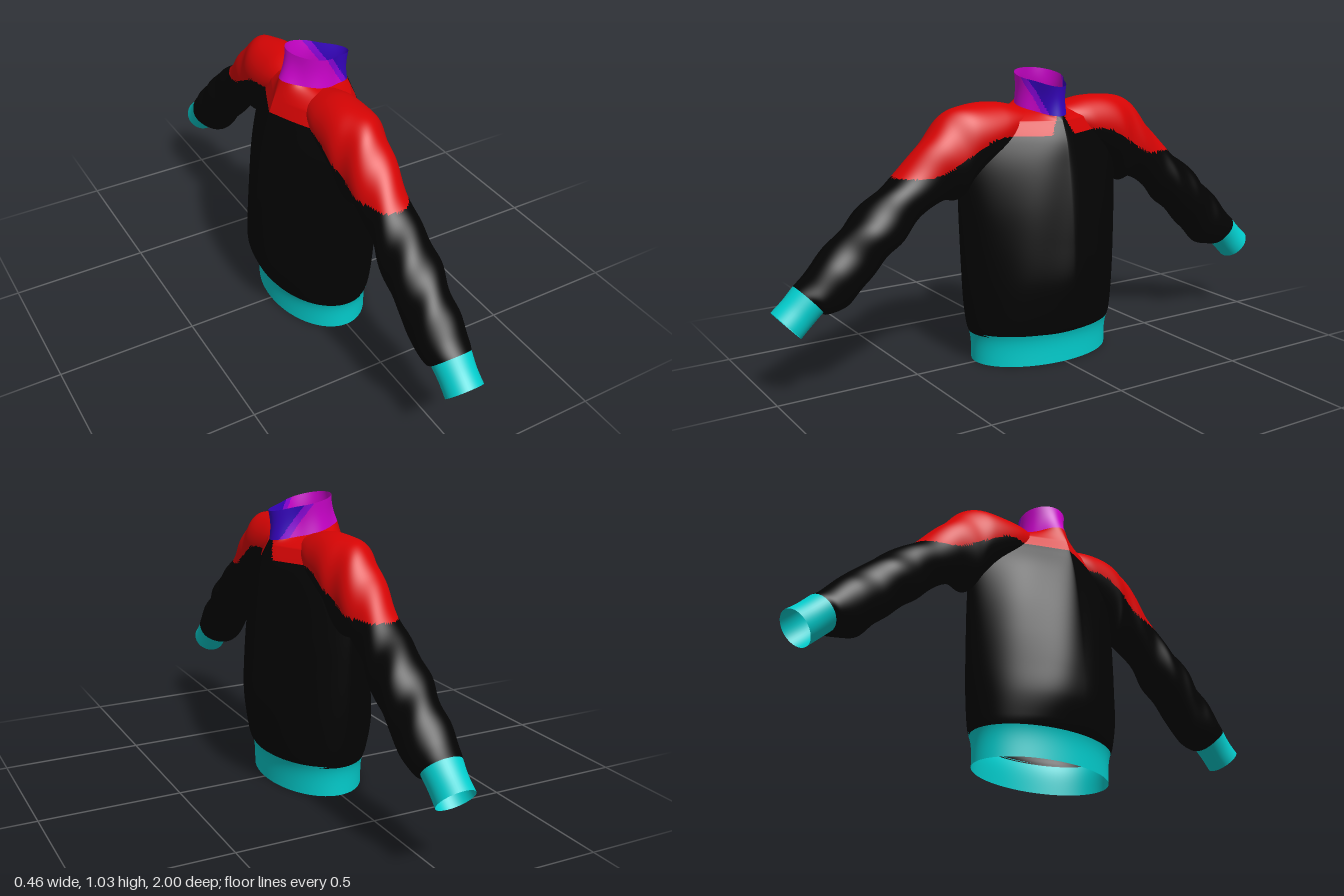
import * as THREE from 'three';

const mat = (name, color) => {
  const m = new THREE.MeshStandardMaterial({ color, side: THREE.DoubleSide });
  m.name = name;
  return m;
};

// Smooth (Catmull-Rom) interpolation through a list of section rows, t in 0..1
function sample(rows, t) {
  const n = rows.length - 1;
  const i = Math.min(Math.floor(t * n), n - 1);
  const f = t * n - i;
  const at = (k) => rows[Math.max(0, Math.min(n, k))];
  return rows[i].map((b, k) => {
    const a = at(i - 1)[k], c = at(i + 1)[k], d = at(i + 2)[k];
    return 0.5 * (2 * b + (c - a) * f + (2 * a - 5 * b + 4 * c - d) * f * f + (3 * b - a - 3 * c + d) * f ** 3);
  });
}

// Open tube from point(angle, t); pick(x, y, z) chooses the material of each face
function loft(name, point, nu, nv, mats, pick = () => 0) {
  const pos = [];
  const sets = mats.map(() => []);
  for (let j = 0; j <= nv; j++)
    for (let i = 0; i < nu; i++) pos.push(...point((i / nu) * Math.PI * 2, j / nv));
  const face = (...v) => {
    const mid = [0, 1, 2].map((k) => v.reduce((s, p) => s + pos[p * 3 + k], 0) / 3);
    sets[pick(...mid)].push(...v);
  };
  for (let j = 0; j < nv; j++)
    for (let i = 0; i < nu; i++) {
      const a = j * nu + i, b = j * nu + ((i + 1) % nu);
      face(a, a + nu, b);
      face(b, a + nu, b + nu);
    }
  const geo = new THREE.BufferGeometry();
  geo.setAttribute('position', new THREE.Float32BufferAttribute(pos, 3));
  geo.setIndex(sets.flat());
  let start = 0;
  sets.forEach((s, k) => {
    geo.addGroup(start, s.length, k);
    start += s.length;
  });
  geo.computeVertexNormals();
  const mesh = new THREE.Mesh(geo, mats);
  mesh.name = name;
  return mesh;
}

const bump = (a, w) => Math.exp(-((a / w) ** 2));
const spow = (v, e) => Math.sign(v) * Math.abs(v) ** e;

// Teardrop neck loops: rounded at the back, narrow point at the front (+x)
function neckLoop(a, top) {
  const t = a > Math.PI ? a - 2 * Math.PI : a;
  const r = top
    ? 0.086 + 0.058 * bump(t, 0.45)
    : 0.086 + 0.054 * bump(t, 0.5) + 0.03 * bump(Math.PI - Math.abs(t), 0.5);
  const x = r * Math.cos(a), z = r * Math.sin(a);
  return [x, top ? 1.007 - 0.217 * x : 0.903 - 0.2 * x, z];
}

// Torso sections: height, back depth, front depth, half width, roundness exponent
const torsoRows = [
  [0.108, 0.181, 0.179, 0.28, 2],
  [0.14, 0.2, 0.196, 0.289, 1.9],
  [0.22, 0.227, 0.216, 0.3, 1.75],
  [0.32, 0.231, 0.23, 0.31, 1.62],
  [0.45, 0.222, 0.223, 0.318, 1.57],
  [0.58, 0.207, 0.211, 0.325, 1.5],
  [0.7, 0.187, 0.195, 0.328, 1.36],
  [0.79, 0.165, 0.179, 0.322, 1.16],
  [0.86, 0.142, 0.152, 0.3, 1.02],
];

function torsoPoint(a, t) {
  const shoulder = 0.88;
  const [y, back, front, half, e] = sample(torsoRows, Math.min(t / shoulder, 1));
  const c = Math.cos(a), s = Math.sin(a);
  // soft vertical folds that fade at the hem and the neck
  const fold = 1 + 0.012 * Math.sin(9 * a + 5 * y) * Math.sin(Math.PI * t);
  const p = [spow(c, 2 / e) * (c > 0 ? front : back) * fold, y, spow(s, 2 / e) * half];
  if (t <= shoulder) return p;
  const f = (t - shoulder) / (1 - shoulder);
  const q = neckLoop(a, false);
  return p.map((v, k) => v + (q[k] - v) * f);
}

// Sleeve sections: top z, top y, bottom z, bottom y, half depth
const sleeveRows = [
  [0.088, 0.903, 0.088, 0.8, 0.075],
  [0.18, 0.922, 0.18, 0.74, 0.1],
  [0.3, 0.922, 0.29, 0.66, 0.105],
  [0.385, 0.887, 0.33, 0.6, 0.094],
  [0.46, 0.81, 0.4, 0.605, 0.086],
  [0.54, 0.725, 0.49, 0.55, 0.08],
  [0.62, 0.66, 0.56, 0.48, 0.09],
  [0.7, 0.6, 0.625, 0.425, 0.094],
  [0.765, 0.535, 0.69, 0.36, 0.086],
  [0.83, 0.48, 0.75, 0.3, 0.088],
  [0.885, 0.415, 0.825, 0.28, 0.08],
  [0.922, 0.384, 0.838, 0.29, 0.069],
];
const cuffRows = [
  [0.922, 0.384, 0.838, 0.29, 0.069],
  [0.96, 0.345, 0.876, 0.253, 0.064],
  [1, 0.31, 0.915, 0.215, 0.065],
];

const sleevePoint = (rows, wrinkle) => (a, t) => {
  const [zt, yt, zb, yb, rx] = sample(rows, t);
  const w = 1 + wrinkle * Math.sin(3 * a + 38 * t) * Math.sin(Math.PI * t);
  const s = Math.sin(a) * 0.5 * w;
  return [-Math.cos(a) * rx * w, (yt + yb) / 2 + (yt - yb) * s, (zt + zb) / 2 + (zt - zb) * s];
};

export function createModel() {
  const black = mat('black fabric', 0x030303);
  const red = mat('red yoke', 0xd60404);
  const teal = mat('teal ribbing', 0x02cccc);
  const magenta = mat('magenta collar', 0xcc02cc);
  const purple = mat('purple collar band', 0x8c02dc);
  const blue = mat('blue collar front', 0x3602c0);
  const model = new THREE.Group();
  model.name = 'sweater';

  // Torso with red yoke, left open in a narrow wedge at the front
  model.add(loft('torso', torsoPoint, 160, 100, [black, red],
    (x, y, z) => (y > 0.813 && !(x > 0 && Math.abs(z) < 0.045 - (y - 0.813) * 0.5) ? 1 : 0)));

  // Ribbed hem band, spreading into the torso at its top
  model.add(loft('hem', (a, t) => {
    const r = 0.012 * t ** 4;
    return [(0.171 + r) * Math.cos(a), t * 0.115, (0.27 + r) * Math.sin(a)];
  }, 96, 10, [teal]));

  // Collar flaring to the neck line, with a coloured front
  model.add(loft('collar', (a, t) => {
    const lo = neckLoop(a, false), hi = neckLoop(a, true);
    const p = lo.map((v, k) => v + (hi[k] - v) * t);
    const pinch = 1 - 0.04 * Math.sin(Math.PI * t);
    return [p[0] * pinch, p[1], p[2] * pinch];
  }, 128, 24, [magenta, purple, blue], (x, y) => {
    const d = x - 0.042 - (1 - y) * 0.66;
    return d > 0 ? 2 : d > -0.025 ? 1 : 0;
  }));

  // Sleeves: red over the shoulder, black below, teal cuff
  const yokeEdge = (z) => 0.813 - 0.115 * THREE.MathUtils.smoothstep(z, 0.2, 0.47);
  for (const side of ['left', 'right']) {
    const arm = new THREE.Group();
    arm.name = side + 'Sleeve';
    arm.add(loft('sleeve', sleevePoint(sleeveRows, 0.035), 72, 110, [black, red],
      (x, y, z) => (y > yokeEdge(z) ? 1 : 0)));
    arm.add(loft('cuff', sleevePoint(cuffRows, 0), 48, 8, [teal]));
    if (side === 'right') arm.rotation.y = Math.PI;
    model.add(arm);
  }
  return model;
}
